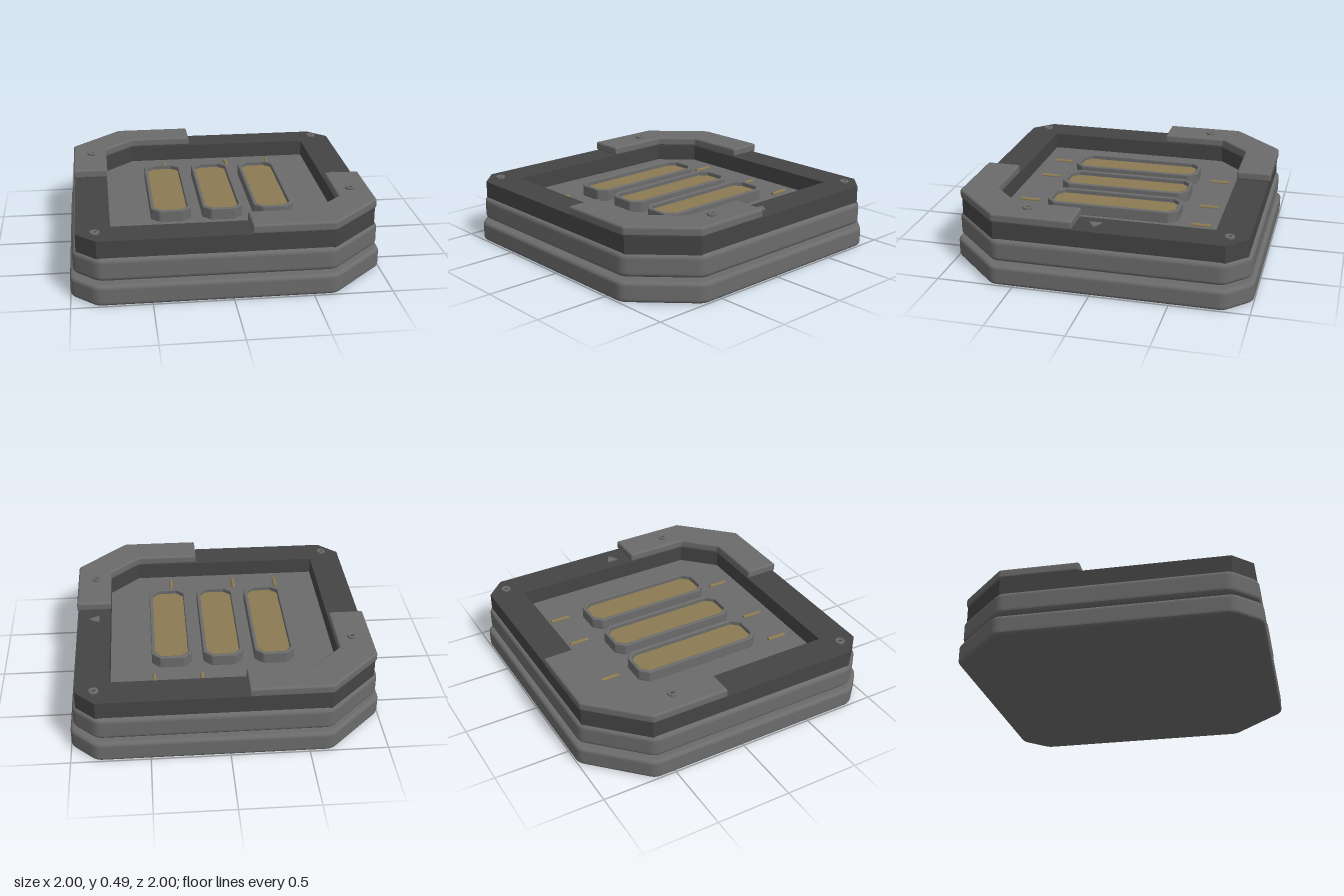
import * as THREE from 'three';

const grey = new THREE.MeshStandardMaterial({ color: 0x6b6b6b, name: 'grey casing' });
const dark = new THREE.MeshStandardMaterial({ color: 0x444444, name: 'dark frame' });
const gold = new THREE.MeshStandardMaterial({ color: 0x8b7a53, name: 'gold contact' });

// Trace an [x, z] outline, rounding each corner by r
function trace(path, pts, r = 0) {
  const v = pts.map(([x, z]) => new THREE.Vector2(x, -z));
  v.forEach((p, i) => {
    const prev = v[(i + v.length - 1) % v.length], next = v[(i + 1) % v.length];
    const a = p.clone().add(prev.clone().sub(p).setLength(r));
    const b = p.clone().add(next.clone().sub(p).setLength(r));
    if (i === 0) path.moveTo(a.x, a.y); else path.lineTo(a.x, a.y);
    if (r > 0) path.quadraticCurveTo(p.x, p.y, b.x, b.y);
  });
  path.closePath();
  return path;
}

// Rectangle with cut corners: c1 at back left and front right, c2 at the others
function cutRect(w, d, c1, c2) {
  const pts = [];
  for (const s of [1, -1]) {
    if (c2 > 0) pts.push([s * w, -s * (d - c2)], [s * (w - c2), -s * d]);
    else pts.push([s * w, -s * d]);
    pts.push([-s * (w - c1), -s * d], [-s * w, -s * (d - c1)]);
  }
  return pts;
}

// Horizontal plate between two heights, edges rounded by bevel
function plate(name, material, shape, y0, y1, bevel = 0) {
  const geo = new THREE.ExtrudeGeometry(shape, {
    depth: y1 - y0 - 2 * bevel, bevelEnabled: bevel > 0, bevelThickness: bevel,
    bevelSize: bevel, bevelOffset: -bevel, bevelSegments: 5, curveSegments: 5,
  });
  geo.rotateX(-Math.PI / 2).translate(0, y0 + bevel, 0);
  const mesh = new THREE.Mesh(geo, material);
  mesh.name = name;
  return mesh;
}

function bolt(x, y, z) {
  const g = new THREE.Group();
  g.name = 'bolt';
  const head = new THREE.Shape().absarc(0, 0, 0.032, 0, Math.PI * 2);
  const hex = [];
  for (let i = 0; i < 6; i++) hex.push([0.015 * Math.cos(i * Math.PI / 3), 0.015 * Math.sin(i * Math.PI / 3)]);
  head.holes.push(trace(new THREE.Path(), hex));
  g.add(plate('boltHead', grey, head, 0, 0.016, 0.004));
  const socket = new THREE.Mesh(new THREE.CylinderGeometry(0.017, 0.017, 0.004, 6), dark);
  socket.name = 'boltSocket';
  socket.position.y = 0.003;
  g.add(socket);
  g.position.set(x, y, z);
  return g;
}

export function createModel() {
  const model = new THREE.Group();
  model.name = 'contactPlate';

  // Two stacked slabs with a narrow gap
  model.add(plate('baseSlab', grey, trace(new THREE.Shape(), cutRect(1, 1, 0.36, 0.16), 0.04), 0, 0.135, 0.025));
  model.add(plate('middleSlab', grey, trace(new THREE.Shape(), cutRect(0.98, 0.98, 0.35, 0.15), 0.04), 0.155, 0.305, 0.03));

  // Dark rim around the recessed floor
  const rim = trace(new THREE.Shape(), cutRect(0.957, 0.957, 0.325, 0.125));
  rim.holes.push(trace(new THREE.Path(), cutRect(0.74, 0.74, 0.2, 0)));
  model.add(plate('rim', dark, rim, 0.3, 0.415));

  // Corner guards and bolts, repeated by a half turn
  const guard = [[-0.967, -0.115], [-0.735, -0.115], [-0.735, -0.545], [-0.535, -0.738],
    [-0.115, -0.738], [-0.115, -0.967], [-0.635, -0.967], [-0.967, -0.635]];
  for (const s of [1, -1]) {
    const outline = guard.map(([x, z]) => [s * x, s * z]);
    model.add(plate('cornerGuard', grey, trace(new THREE.Shape(), outline, 0.012), 0.415, 0.477, 0.015));
    model.add(bolt(-s * 0.837, 0.477, -s * 0.435));
    model.add(bolt(s * 0.837, 0.415, -s * 0.837));
  }

  // Three framed contact pads
  for (const x of [-0.338, 0, 0.338]) {
    const g = new THREE.Group();
    g.name = 'contactPad';
    const frame = trace(new THREE.Shape(), cutRect(0.132, 0.443, 0.055, 0.055), 0.01);
    frame.holes.push(trace(new THREE.Path(), cutRect(0.108, 0.418, 0.045, 0.045), 0.008));
    g.add(plate('padFrame', grey, frame, 0.3, 0.38, 0.008));
    g.add(plate('padContact', gold, trace(new THREE.Shape(), cutRect(0.112, 0.422, 0.045, 0.045)), 0.3, 0.35));
    g.position.x = x;
    model.add(g);
  }

  // Small gold pins on the floor
  for (const s of [1, -1]) {
    for (const x of [-0.307, 0.15, 0.457]) {
      const pin = new THREE.Mesh(new THREE.CylinderGeometry(0.0125, 0.0125, 0.13, 12).rotateX(Math.PI / 2), gold);
      pin.name = 'pin';
      pin.position.set(s * x, 0.308, -s * 0.598);
      model.add(pin);
    }
  }

  // Direction arrow on the rim
  const arrow = trace(new THREE.Shape(), [[0.815, -0.04], [0.885, 0], [0.815, 0.04]]);
  model.add(plate('arrowMark', grey, arrow, 0.414, 0.423));

  return model;
}
